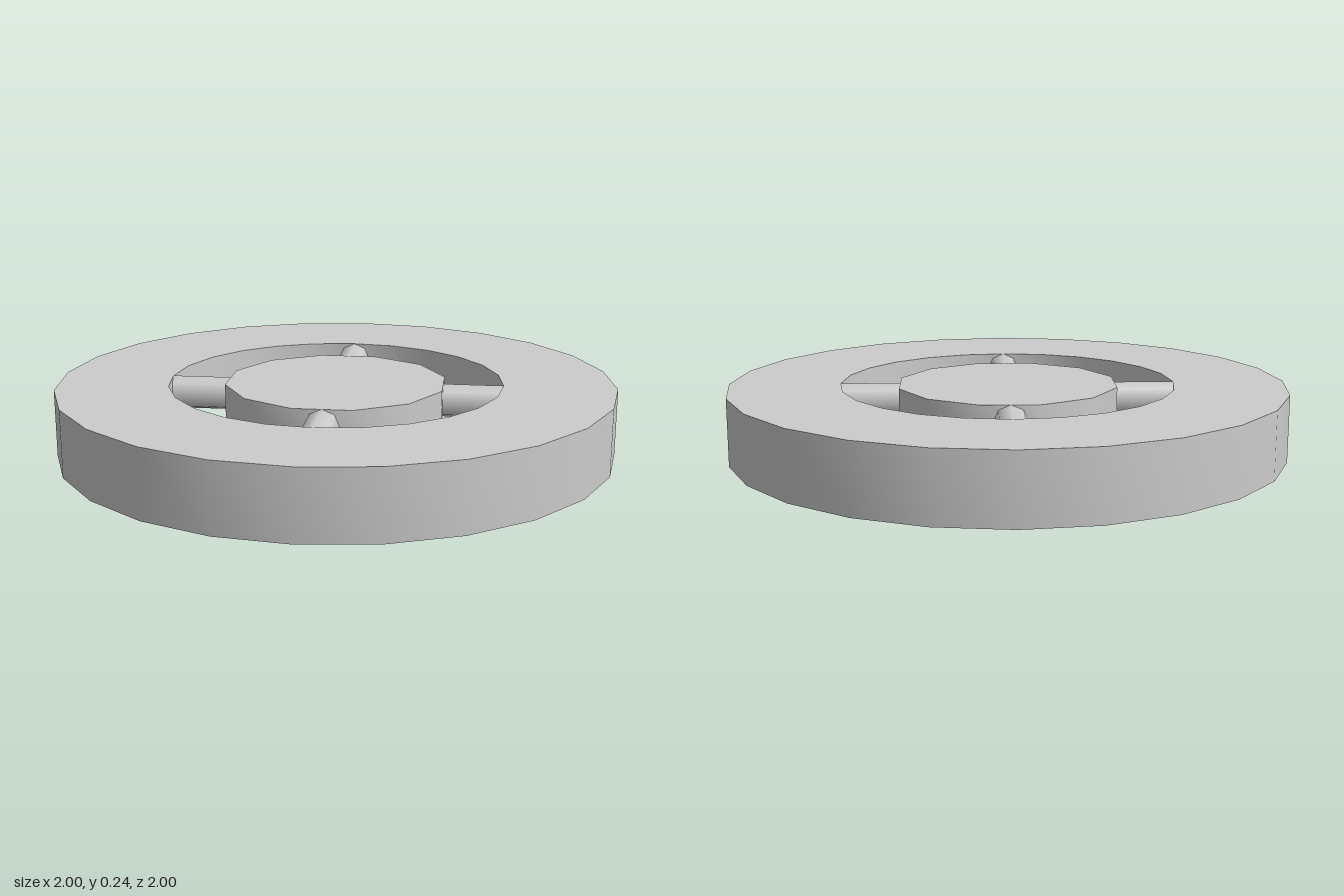
import * as THREE from 'three';
import { toCreasedNormals } from 'three/addons/utils/BufferGeometryUtils.js';

const material = new THREE.MeshStandardMaterial({ color: 0xcccccc });

// Revolves a counter-clockwise [radius, y] profile, keeping its corners sharp
function revolve(name, profile, sides) {
  const points = profile.map(([r, y]) => new THREE.Vector2(r, y));
  const geometry = toCreasedNormals(new THREE.LatheGeometry(points, sides), 0.6);
  const mesh = new THREE.Mesh(geometry, material);
  mesh.name = name;
  return mesh;
}

export function createModel() {
  const model = new THREE.Group();
  model.name = 'spokedRing';
  const height = 0.24, mid = 0.12;

  // Outer ring, stepped on its underside
  model.add(revolve('outerRing', [
    [0.8, 0], [1, 0], [1, height], [0.6, height], [0.6, mid], [0.8, mid], [0.8, 0],
  ], 24));

  // Central hub: straight upper half, tapered lower half
  model.add(revolve('hub', [
    [0, 0], [0.24, 0], [0.4, mid], [0.4, height], [0, height],
  ], 12));

  // Four diagonal round spokes joining hub and ring
  const inner = 0.36, outer = 0.61;
  const spokeGeometry = new THREE.CylinderGeometry(0.06, 0.06, outer - inner, 8);
  spokeGeometry.rotateX(Math.PI / 2);
  spokeGeometry.translate(0, 0.18, (inner + outer) / 2);
  for (let i = 0; i < 4; i++) {
    const spoke = new THREE.Mesh(spokeGeometry, material);
    spoke.name = `spoke${i + 1}`;
    spoke.rotation.y = Math.PI / 4 + (i * Math.PI) / 2;
    model.add(spoke);
  }

  return model;
}
